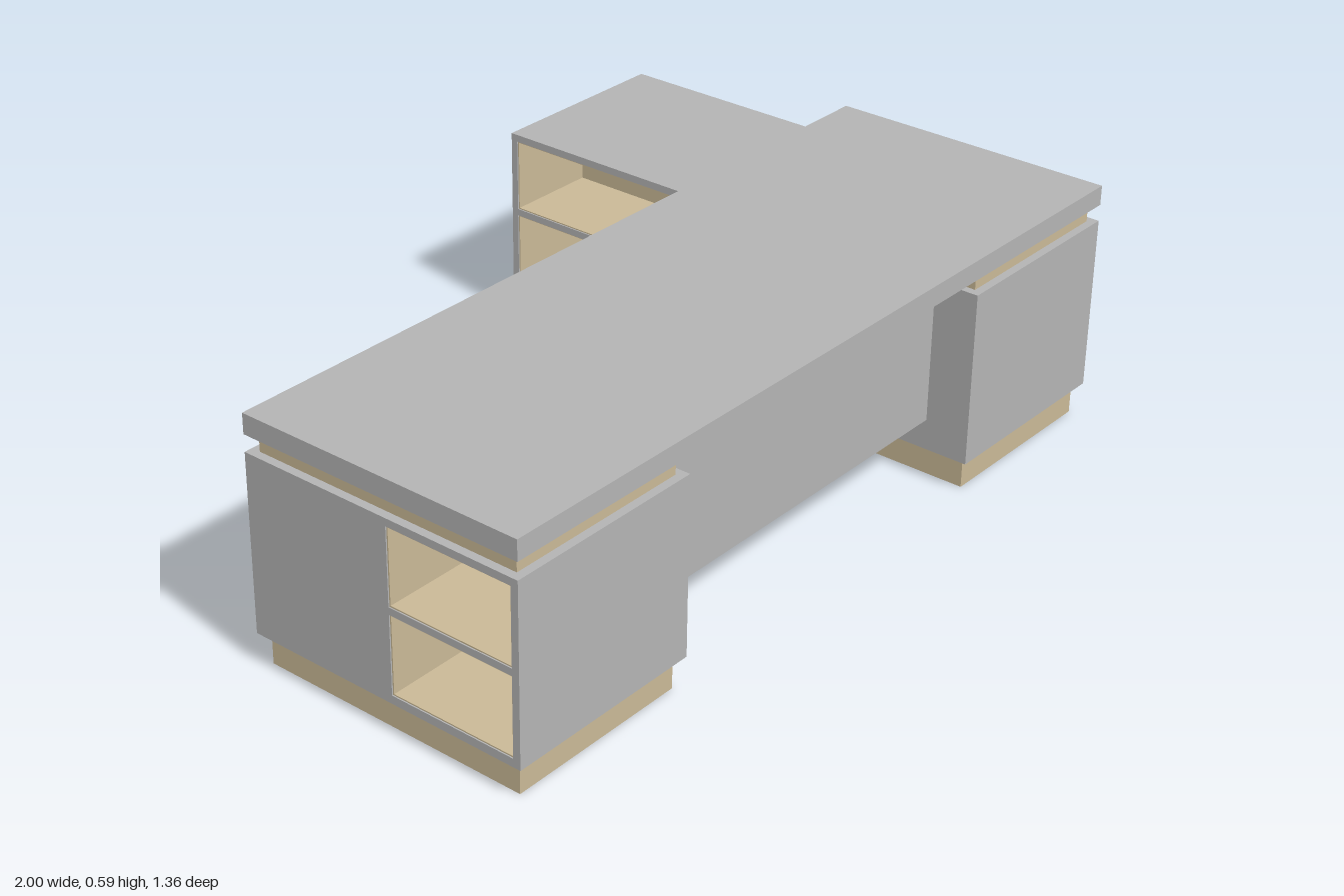
import * as THREE from 'three';

export function createModel() {
  const model = new THREE.Group();
  model.name = 'desk';
  const grey = new THREE.MeshStandardMaterial({ color: 0xb3b3b3 });
  grey.name = 'grey laminate';
  const wood = new THREE.MeshStandardMaterial({ color: 0xc9b896 });
  wood.name = 'light wood';

  // Box given by its limits along each axis
  function box(name, mat, [x0, x1], [y0, y1], [z0, z1], parent = model) {
    const mesh = new THREE.Mesh(new THREE.BoxGeometry(x1 - x0, y1 - y0, z1 - z0), mat);
    mesh.position.set((x0 + x1) / 2, (y0 + y1) / 2, (z0 + z1) / 2);
    mesh.name = name;
    parent.add(mesh);
    return mesh;
  }
  function group(name) {
    const g = new THREE.Group();
    g.name = name;
    model.add(g);
    return g;
  }

  const BOTTOM = 0.075, TOP = 0.5, FRONT = 0.68, BACK = -0.037;
  const levels = [[0.095, 0.283], [0.3, 0.482]]; // clear heights of the two shelf bays
  const boards = [[BOTTOM, 0.095], [0.283, 0.3], [0.482, TOP]];
  const t = 0.003; // lining thickness

  // Grey boards with wood-lined bays between them
  function shelves(name, x, z) {
    const g = group(name);
    for (const y of boards) box('shelfBoard', grey, x, y, z, g);
    const lx = [x[0] + t, x[1] - t];
    for (const [y0, y1] of levels) {
      box('bayFloor', wood, lx, [y0, y0 + t], z, g);
      box('bayCeiling', wood, lx, [y1 - t, y1], z, g);
      box('baySide', wood, lx, [y0 + t, y1 - t], [z[0], z[0] + t], g);
      box('baySide', wood, lx, [y0 + t, y1 - t], [z[1] - t, z[1]], g);
    }
    return g;
  }

  // Desktop and privacy panel
  box('desktop', grey, [-1, 1], [0.54, 0.588], [BACK, FRONT]);
  box('privacyPanel', grey, [-0.5, 0.5], [0.15, 0.487], [0.545, 0.57]);

  // Plinths and the spacers under the desktop
  box('leftPlinth', wood, [0.52, 0.98], [0, BOTTOM], [-0.66, 0.66]);
  box('rightPlinth', wood, [-0.98, -0.52], [0, BOTTOM], [-0.015, 0.66]);
  for (const x of [[0.52, 0.98], [-0.98, -0.52]]) {
    box('desktopSpacer', wood, x, [TOP, 0.54], [-0.015, 0.66]);
  }

  // Left cabinet: closed front part, shelves open on both sides at the rear
  box('leftCabinet', grey, [0.5, 1], [BOTTOM, TOP], [-0.018, FRONT]);
  box('leftCabinetEnd', grey, [0.5, 1], [BOTTOM, TOP], [-0.68, -0.662]);
  const long = shelves('leftShelves', [0.5, 1], [-0.662, -0.018]);
  for (const y of levels) box('shelfDivider', wood, [0.742, 0.758], y, [-0.662, -0.018], long);

  // Right cabinet: drawers at the rear, shelves on the outer side at the front
  box('drawerCarcass', grey, [-1, -0.5], [BOTTOM, TOP], [-0.025, 0.345]);
  box('rightCabinetFront', grey, [-1, -0.5], [BOTTOM, TOP], [0.662, FRONT]);
  box('rightCabinetSide', grey, [-0.52, -0.5], [BOTTOM, TOP], [0.345, 0.662]);
  const short = shelves('rightShelves', [-1, -0.52], [0.345, 0.662]);
  for (const y of levels) box('shelfBack', wood, [-0.53, -0.52], y, [0.345, 0.662], short);

  // Frame around the drawers
  const rim = [BACK, -0.025];
  const frame = group('drawerFrame');
  box('frameBottom', grey, [-1, -0.5], [BOTTOM, 0.095], rim, frame);
  box('frameTop', grey, [-1, -0.5], [0.482, TOP], rim, frame);
  box('frameSide', grey, [-1, -0.98], [0.095, 0.482], rim, frame);
  box('frameSide', grey, [-0.52, -0.5], [0.095, 0.482], rim, frame);

  // Three drawer fronts with bracket handles
  const h = (0.482 - 0.095) / 3;
  for (let i = 0; i < 3; i++) {
    const y0 = 0.095 + i * h, yc = y0 + h / 2;
    const g = group('drawer');
    box('drawerFront', wood, [-0.98, -0.52], [y0 + 0.0006, y0 + h - 0.0006], [-0.034, -0.025], g);
    const hy = [yc - 0.006, yc + 0.006];
    box('handleBar', grey, [-0.815, -0.685], hy, [-0.061, -0.051], g);
    for (const x of [-0.815, -0.697]) box('handlePost', grey, [x, x + 0.012], hy, [-0.051, -0.034], g);
  }
  return model;
}
